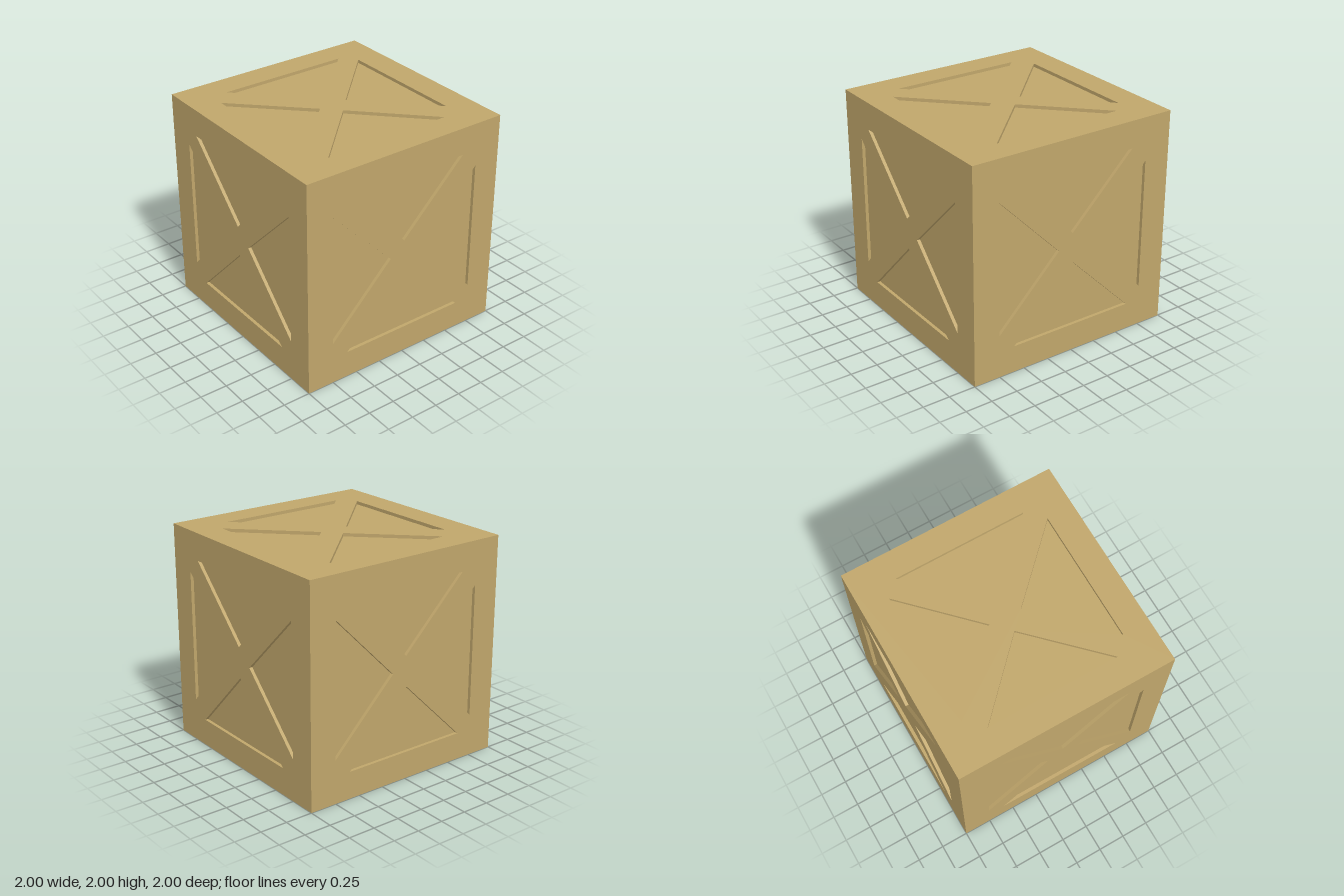
import * as THREE from 'three';
import { mergeGeometries } from 'three/addons/utils/BufferGeometryUtils.js';

const DEPTH = 0.03; // how far the triangular panels sit behind the frame

// Triangular openings between the frame and the X brace, counter-clockwise
const OPENINGS = [
  [[-0.62, 0.75], [-0.01, 0.14], [0.60, 0.75]],
  [[-0.75, 0.62], [-0.75, -0.60], [-0.15, 0.01]],
  [[0.75, 0.60], [0.14, 0.0], [0.75, -0.61]],
  [[-0.60, -0.75], [0.61, -0.75], [0.0, -0.14]],
];

// Front surface of one side: square border and crossed braces
function braceGeometry() {
  const shape = new THREE.Shape([[-1, -1], [1, -1], [1, 1], [-1, 1]].map(p => new THREE.Vector2(...p)));
  for (const tri of OPENINGS) {
    shape.holes.push(new THREE.Path(tri.map(p => new THREE.Vector2(...p))));
  }
  return new THREE.ShapeGeometry(shape).translate(0, 0, 1);
}

// Narrow walls from the edges of an opening down to the panel
function wallGeometry(tri) {
  const pos = [];
  tri.forEach((a, i) => {
    const b = tri[(i + 1) % tri.length];
    const at = [...a, 1], bt = [...b, 1];
    const ab = [...a, 1 - DEPTH], bb = [...b, 1 - DEPTH];
    pos.push(...at, ...bb, ...ab, ...at, ...bt, ...bb);
  });
  const geo = new THREE.BufferGeometry();
  geo.setAttribute('position', new THREE.Float32BufferAttribute(pos, 3));
  geo.computeVertexNormals();
  return geo;
}

export function createModel() {
  const crate = new THREE.Group();
  crate.name = 'crate';
  const wood = new THREE.MeshStandardMaterial({ color: 0xc0a66b });
  const wallWood = new THREE.MeshStandardMaterial({ color: 0xc0a66b, side: THREE.DoubleSide });

  // Inner box whose faces form the recessed panels
  const size = 2 - 2 * DEPTH;
  const core = new THREE.Mesh(new THREE.BoxGeometry(size, size, size), wood);
  core.name = 'recessedPanels';
  core.position.y = 1;
  crate.add(core);

  // Six identical braced sides
  const brace = braceGeometry();
  const walls = mergeGeometries(OPENINGS.map(wallGeometry));
  const q = Math.PI / 2;
  const sides = { front: [0, 0], left: [0, q], back: [0, 2 * q], right: [0, -q], top: [-q, 0], bottom: [q, 0] };
  for (const [name, [rx, ry]] of Object.entries(sides)) {
    const side = new THREE.Group();
    side.name = name + 'Side';
    const frame = new THREE.Mesh(brace, wood);
    frame.name = 'crossBracedFrame';
    const rim = new THREE.Mesh(walls, wallWood);
    rim.name = 'openingWalls';
    side.add(frame, rim);
    side.rotation.set(rx, ry, 0);
    side.position.y = 1;
    crate.add(side);
  }
  return crate;
}
